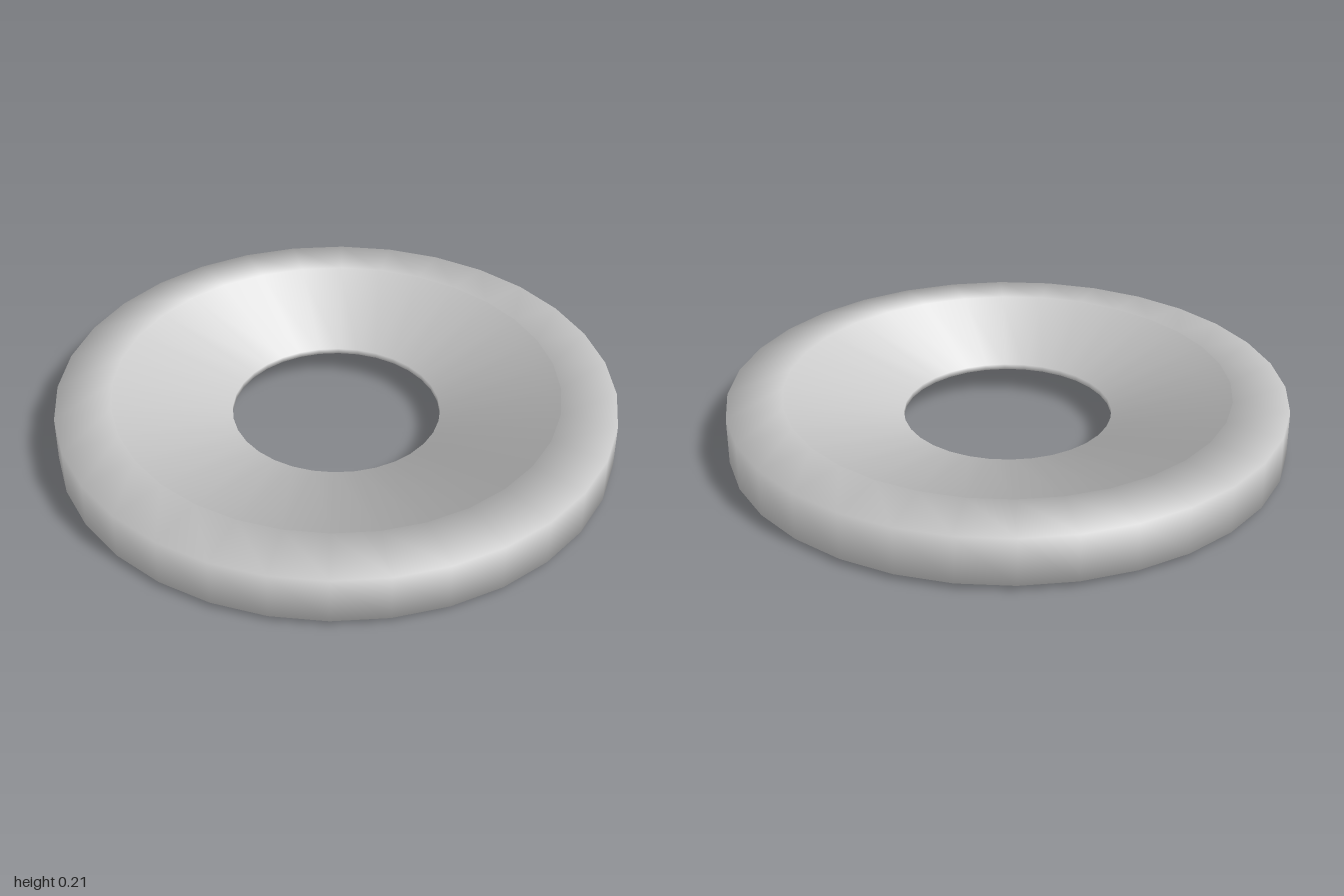
import * as THREE from 'three';

const SEGMENTS = 32;
const MID = 0.105; // height of the middle plane

// Lathe a profile of [radius, y, tilt]; tilt is the angle of the soft shading
// normal above the outward radius, in degrees.
function softLathe(profile) {
  const points = profile.map(([r, y]) => new THREE.Vector2(r, y + MID));
  const geometry = new THREE.LatheGeometry(points, SEGMENTS);
  const normal = geometry.attributes.normal;
  for (let i = 0; i <= SEGMENTS; i++) {
    const phi = (i / SEGMENTS) * Math.PI * 2;
    profile.forEach(([, , tilt], j) => {
      const a = THREE.MathUtils.degToRad(tilt);
      normal.setXYZ(i * profile.length + j, Math.cos(a) * Math.sin(phi), Math.sin(a), Math.cos(a) * Math.cos(phi));
    });
  }
  return geometry;
}

export function createModel() {
  const model = new THREE.Group();
  model.name = 'ringDisc';
  const material = new THREE.MeshStandardMaterial({ color: 0xcccccc });

  const add = (name, profile) => {
    const mesh = new THREE.Mesh(softLathe(profile), material);
    mesh.name = name;
    model.add(mesh);
  };

  // Rounded outer rim, from lower lip round to upper lip
  add('outerRim', [
    [0.8, -0.105, 225 - 360],
    [1, -0.085, -35],
    [1, 0.085, 35],
    [0.8, 0.105, 135],
  ]);

  // Dished faces running down to a thin edge around the centre hole
  add('upperDish', [[0.8, 0.105, 138], [0.373, 0.01, 138]]);
  add('holeEdge', [[0.373, 0.01, 138], [0.373, -0.01, 222]]);
  add('lowerDish', [[0.373, -0.01, 222], [0.8, -0.105, 222]]);

  return model;
}
